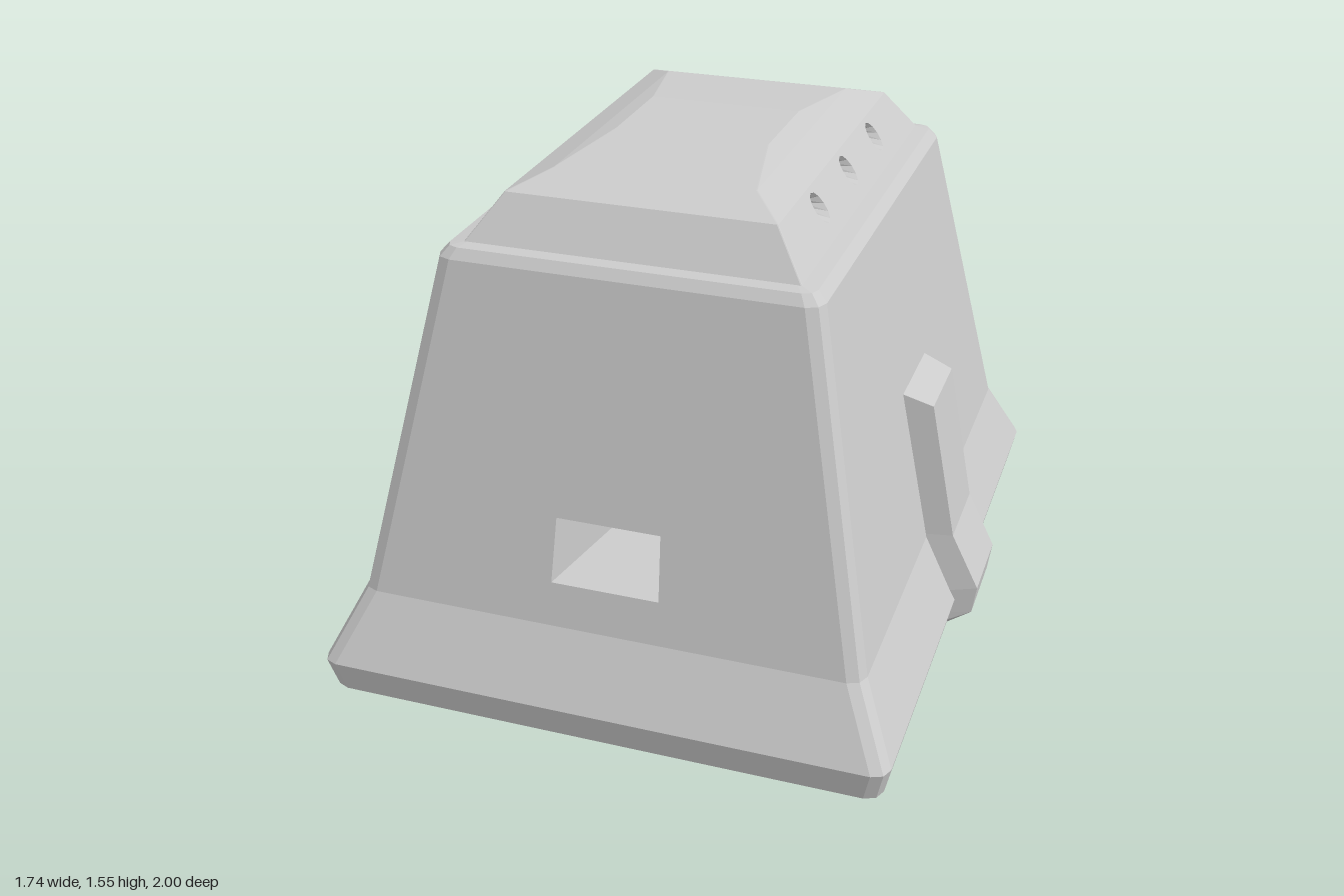
import * as THREE from 'three';
import { mergeGeometries } from 'three/addons/utils/BufferGeometryUtils.js';

const material = new THREE.MeshStandardMaterial({ color: 0xcccccc, flatShading: true });

// Rectangle with softened corners, counter-clockwise seen from above (12 points)
function ring(hx, hz, y, r) {
  const pts = [];
  for (let k = 0; k < 4; k++) {
    const sx = k === 0 || k === 3 ? 1 : -1, sz = k < 2 ? -1 : 1;
    for (let j = 0; j < 3; j++) {
      const t = (k + j / 2) * Math.PI / 2;
      pts.push([sx * (hx - r) + r * Math.cos(t), y, sz * (hz - r) - r * Math.sin(t)]);
    }
  }
  return pts;
}

// Skin between rings; skip(level, edge) leaves an opening for a panel
function loft(rings, { start = false, end = false, skip = () => false } = {}) {
  const pos = [];
  const tri = (a, b, c) => pos.push(...a, ...b, ...c);
  for (let l = 0; l < rings.length - 1; l++) {
    const a = rings[l], b = rings[l + 1], n = a.length;
    for (let i = 0; i < n; i++) {
      if (skip(l, i)) continue;
      const j = (i + 1) % n;
      tri(a[i], a[j], b[j]);
      tri(a[i], b[j], b[i]);
    }
  }
  const first = rings[0], last = rings[rings.length - 1];
  for (let i = 1; i < first.length - 1; i++) {
    if (start) tri(first[0], first[i + 1], first[i]);
    if (end) tri(last[0], last[i], last[i + 1]);
  }
  const g = new THREE.BufferGeometry();
  g.setAttribute('position', new THREE.Float32BufferAttribute(pos, 3));
  g.computeVertexNormals();
  return g;
}

// Sloping trapezoid facing +z, pierced by recesses { outer, inner, floor }
function recessedPanel(w0, w1, y0, y1, z0, z1, recesses) {
  const zAt = (y) => z0 + (z1 - z0) * (y - y0) / (y1 - y0);
  const shape = new THREE.Shape();
  shape.setFromPoints([[-w0, y0], [w0, y0], [w1, y1], [-w1, y1]].map((p) => new THREE.Vector2(...p)));
  for (const { outer } of recesses) {
    shape.holes.push(new THREE.Path(outer.map((p) => new THREE.Vector2(...p))));
  }
  const face = new THREE.ShapeGeometry(shape).toNonIndexed();
  face.deleteAttribute('uv');
  const p = face.attributes.position;
  for (let i = 0; i < p.count; i++) p.setZ(i, zAt(p.getY(i)));
  face.computeVertexNormals();
  const wells = recesses.map(({ outer, inner, floor }) => loft([
    outer.map(([x, y]) => [x, y, zAt(y)]),
    inner.map(([x, y]) => [x, y, floor]),
  ], { end: true }));
  return mergeGeometries([face, ...wells]);
}

function circle(cx, cy, r, n = 12) {
  return Array.from({ length: n }, (_, i) => {
    const t = i / n * Math.PI * 2;
    return [cx + r * Math.cos(t), cy + r * Math.sin(t)];
  });
}

export function createModel() {
  const group = new THREE.Group();
  const add = (name, geometry, turn = 0) => {
    const mesh = new THREE.Mesh(geometry, material);
    mesh.name = name;
    mesh.rotation.y = turn;
    group.add(mesh);
  };

  // Body: boat-shaped underside, flared skirt, tapering walls and bevelled rim
  const r = 0.045;
  add('body', loft([
    ring(0.57, 0.39, 0, 0.005),
    ring(0.79, 0.98, 0.11, r),
    ring(0.81, 1.0, 0.2, r),
    ring(0.715, 0.9, 0.4, r),
    ring(0.525, 0.7, 1.34, r),
    ring(0.5, 0.68, 1.368, 0.035),
    ring(0.455, 0.645, 1.375, 0.01),
  ], { start: true, end: true, skip: (l, i) => l === 3 && i === 8 }));

  // Front wall with a slot that narrows inward
  add('frontWallSlot', recessedPanel(0.715 - r, 0.525 - r, 0.4, 1.34, 0.9, 0.7, [{
    outer: [[-0.152, 0.52], [0.152, 0.52], [0.146, 0.7], [-0.146, 0.7]],
    inner: [[-0.045, 0.52], [0.045, 0.52], [0.045, 0.7], [-0.045, 0.7]],
    floor: 0.25,
  }]));

  // Roof: sloped sides and a gently crowned top
  const c = 0.004;
  add('roof', loft([
    ring(0.46, 0.65, 1.372, c),
    ring(0.372, 0.57, 1.495, c),
    ring(0.28, 0.45, 1.533, c),
    ring(0.22, 0.15, 1.55, c),
  ], { end: true, skip: (l, i) => l === 0 && (i === 5 || i === 11) }));

  // Roof sides with three funnel-shaped ports each
  const ports = [-0.3, 0, 0.3].map((u) => ({
    outer: circle(u, 1.445, 0.038), inner: circle(u, 1.445, 0.02), floor: 0.355,
  }));
  // Side ribs, stations [inner x, inner y, outer x, outer y] from bottom to top
  const rib = [
    [0.76, 0.11, 0.79, 0.11], [0.77, 0.15, 0.86, 0.16], [0.78, 0.23, 0.872, 0.245],
    [0.69, 0.41, 0.79, 0.41], [0.6, 0.86, 0.71, 0.82],
  ].map(([xi, yi, xo, yo]) => [
    [xi, yi, 0.145], [xo, yo, 0.127], [xo, yo, -0.127], [xi, yi, -0.145],
  ]);
  for (const [side, s] of [['left', 1], ['right', -1]]) {
    add(side + 'RoofPorts',
      recessedPanel(0.65 - c, 0.57 - c, 1.372, 1.495, 0.46, 0.372, ports), s * Math.PI / 2);
    add(side + 'Rib', loft(rib, { start: true, end: true }), s > 0 ? 0 : Math.PI);
  }
  return group;
}
